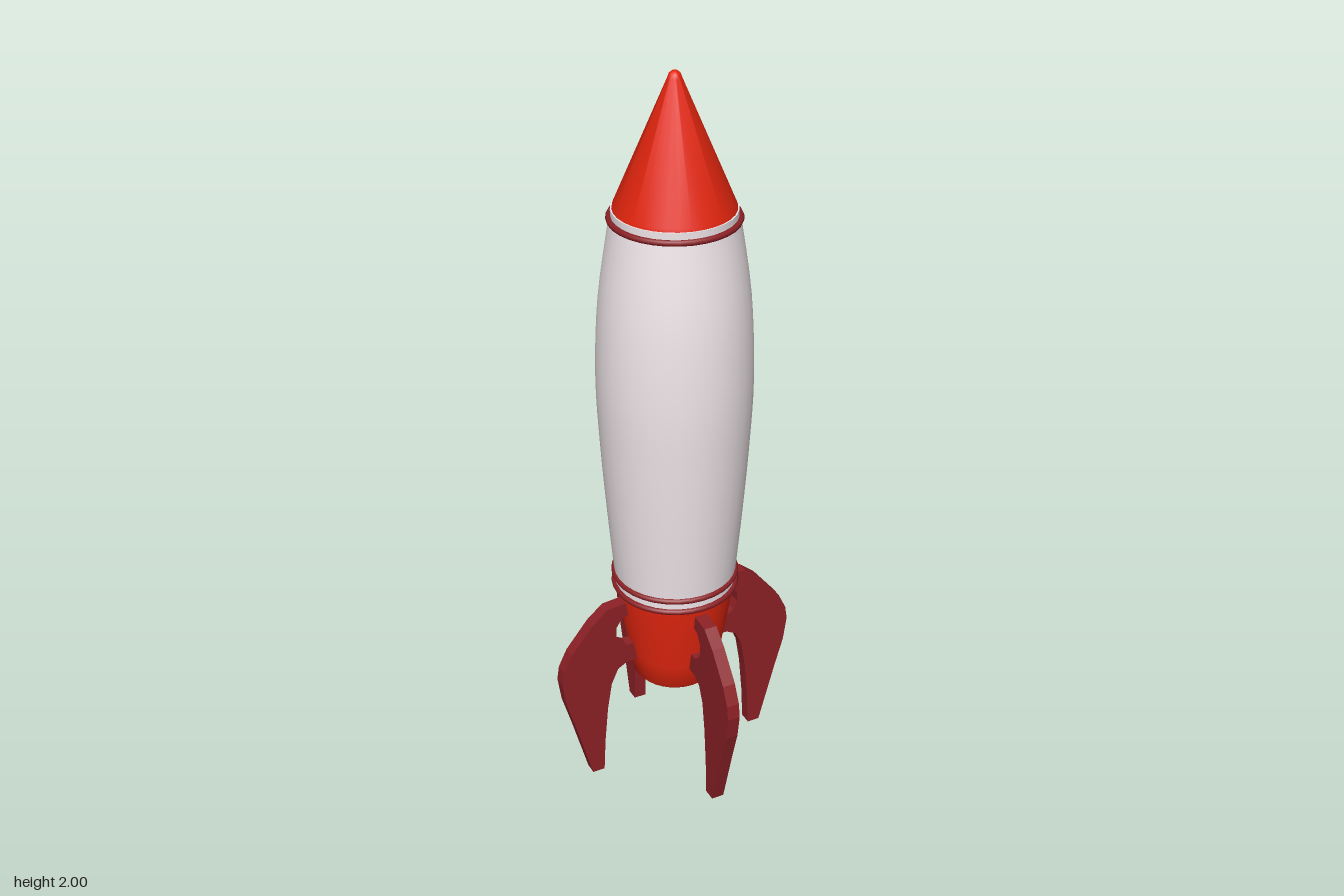
import * as THREE from 'three';
import { toCreasedNormals } from 'three/addons/utils/BufferGeometryUtils.js';

const mat = (color) => new THREE.MeshStandardMaterial({ color });
const RED = mat(0xe5260f), MAROON = mat(0x8c2126), WHITE = mat(0xf0e6ea), ORANGE = mat(0xee9120);
const SEG = 32;

export function createModel() {
  const rocket = new THREE.Group();
  rocket.name = 'rocket';

  const add = (name, geometry, material, parent = rocket) => {
    const mesh = new THREE.Mesh(geometry, material);
    mesh.name = name;
    parent.add(mesh);
    return mesh;
  };
  // profile points are [radius, height], listed from bottom to top
  const lathe = (points) => toCreasedNormals(
    new THREE.LatheGeometry(points.map(([r, y]) => new THREE.Vector2(r, y)), SEG), 0.6);

  // Hull: bulging barrel with closed ends
  const barrel = new THREE.SplineCurve([
    [0.163, 0.6], [0.18, 0.8], [0.194, 1.0], [0.202, 1.2], [0.192, 1.42], [0.161, 1.635],
  ].map(([r, y]) => new THREE.Vector2(r, y))).getPoints(20).map((p) => [p.x, p.y]);
  add('hull', lathe([[0, 0.6], ...barrel, [0, 1.635]]), WHITE);
  add('upperCollar', lathe([[0, 1.63], [0.157, 1.63], [0.157, 1.658], [0, 1.658]]), WHITE);
  add('lowerCollar', lathe([[0, 0.57], [0.162, 0.57], [0.162, 0.61], [0, 0.61]]), WHITE);

  // Trim rings
  for (const [name, y, r] of [['noseRing', 1.634, 0.161], ['hullRing', 0.608, 0.164], ['tailRing', 0.574, 0.164]]) {
    const ring = add(name, new THREE.TorusGeometry(r, 0.008, 8, SEG), MAROON);
    ring.rotation.x = Math.PI / 2;
    ring.position.y = y;
  }

  // Nose cone with a rounded tip
  add('noseCone', lathe([[0, 1.655], [0.154, 1.655], [0.152, 1.665], [0.018, 1.982],
    [0.014, 1.993], [0.007, 1.999], [0, 2]]), RED);

  // Tail section with a hollow nozzle underneath
  add('tail', lathe([[0, 0.36], [0.088, 0.36], [0.092, 0.285], [0.098, 0.279], [0.108, 0.279],
    [0.115, 0.287], [0.127, 0.36], [0.143, 0.45], [0.156, 0.54], [0.16, 0.574], [0, 0.574]]), RED);

  // Four fins, each fixed to the tail at two lugs with a notch between
  const outline = new THREE.Shape([
    [0.23, 0], [0.265, 0], [0.312, 0.175], [0.338, 0.265], [0.348, 0.335], [0.342, 0.375],
    [0.318, 0.425], [0.255, 0.503], [0.21, 0.541], [0.15, 0.547],
    [0.146, 0.505], [0.168, 0.5], [0.184, 0.475], [0.186, 0.445], [0.174, 0.42], [0.155, 0.408],
    [0.132, 0.408], [0.12, 0.352], [0.155, 0.35], [0.182, 0.335], [0.202, 0.29], [0.215, 0.21], [0.225, 0.1],
  ].map(([r, y]) => new THREE.Vector2(r, y)));
  const thickness = 0.035;
  const finGeometry = new THREE.ExtrudeGeometry(outline, { depth: thickness, bevelEnabled: false });
  finGeometry.translate(0, 0, -thickness / 2);
  for (let i = 0; i < 4; i++) {
    add('fin', finGeometry, MAROON).rotation.y = Math.PI / 4 + i * Math.PI / 2;
  }

  // Portholes on the back: a round frame holding a shallow glass dome
  const porthole = (name, y, frameRadius, glassRadius, zFrame, bulge) => {
    const group = new THREE.Group();
    group.name = name;
    group.position.y = y;
    rocket.add(group);
    const depth = 0.07;
    const frame = add('frame', new THREE.CylinderGeometry(frameRadius, frameRadius, depth, SEG), MAROON, group);
    frame.rotation.x = -Math.PI / 2;
    frame.position.z = -zFrame + depth / 2;
    const glass = add('glass', new THREE.SphereGeometry(glassRadius, SEG, 8, 0, Math.PI * 2, 0, Math.PI / 2), ORANGE, group);
    glass.rotation.x = -Math.PI / 2;
    glass.scale.y = bulge / glassRadius;
    glass.position.z = -zFrame;
  };
  porthole('largePorthole', 1.27, 0.085, 0.075, 0.225, 0.03);
  porthole('smallPorthole', 1.127, 0.032, 0.027, 0.217, 0.012);

  return rocket;
}
